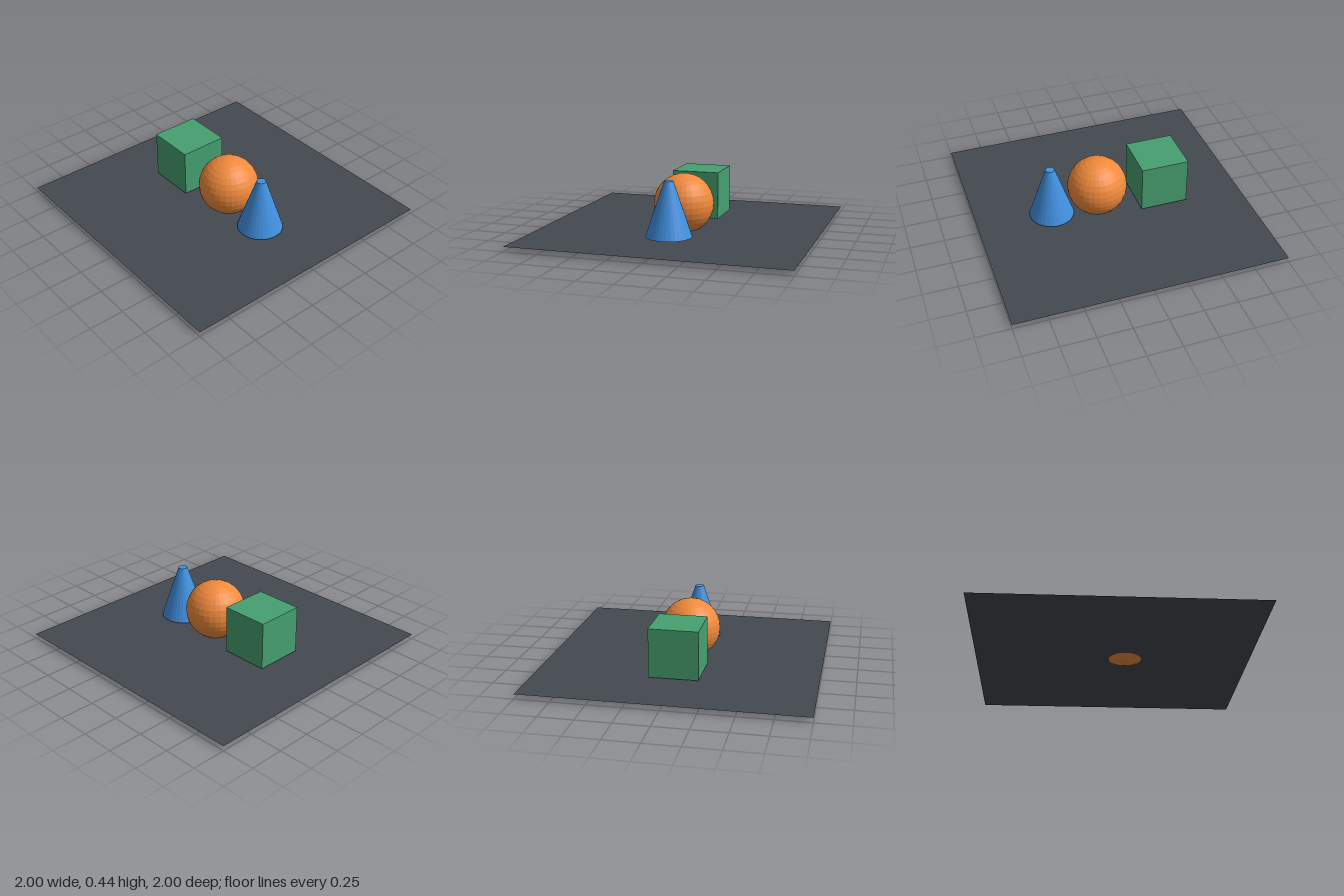
import * as THREE from 'three';

export function createModel() {
  const model = new THREE.Group();

  const add = (name, geometry, color, x, y, options = {}) => {
    const material = new THREE.MeshStandardMaterial({ color, ...options });
    const mesh = new THREE.Mesh(geometry, material);
    mesh.name = name;
    mesh.position.set(x, y, 0);
    model.add(mesh);
    return mesh;
  };

  // Thin ground sheet, which the ball dips slightly through
  const ground = new THREE.PlaneGeometry(2, 2).rotateX(-Math.PI / 2);
  add('ground', ground, 0x444950, 0, 0.035, { side: THREE.DoubleSide });

  // Three solids in a row along x
  add('cube', new THREE.BoxGeometry(0.355, 0.355, 0.355), 0x46a070, -0.38, 0.227);
  add('ball', new THREE.SphereGeometry(0.22, 32, 16), 0xf08a3c, 0.088, 0.22, { flatShading: true });
  add('cone', new THREE.CylinderGeometry(0.033, 0.165, 0.395, 32), 0x4090e0, 0.442, 0.2475, { flatShading: true });

  return model;
}
